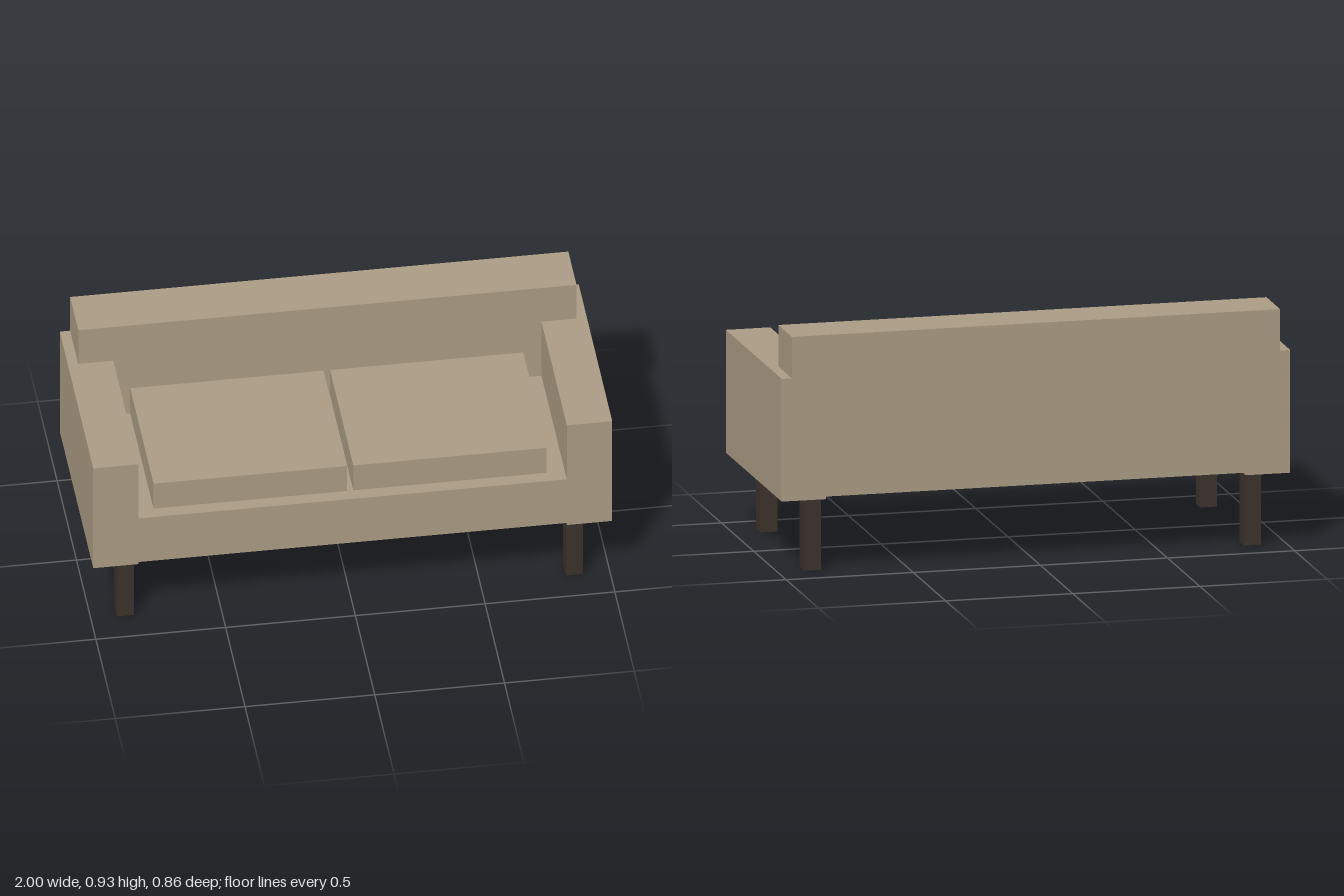
import * as THREE from 'three';

export function createModel() {
  const sofa = new THREE.Group();
  sofa.name = 'sofa';

  const fabric = new THREE.MeshStandardMaterial({ color: 0xab9c85 });
  fabric.name = 'beige fabric';
  const wood = new THREE.MeshStandardMaterial({ color: 0x3b322b });
  wood.name = 'dark wood';

  // Box given by its lower and upper limits on each axis
  function box(name, material, [x0, x1], [y0, y1], [z0, z1]) {
    const mesh = new THREE.Mesh(new THREE.BoxGeometry(x1 - x0, y1 - y0, z1 - z0), material);
    mesh.position.set((x0 + x1) / 2, (y0 + y1) / 2, (z0 + z1) / 2);
    mesh.name = name;
    sofa.add(mesh);
  }

  // Seat base between the arms, and the backrest overhanging them
  box('seatBase', fabric, [-0.825, 0.825], [0.30, 0.51], [-0.432, 0.432]);
  box('backrest', fabric, [-0.96, 0.96], [0.51, 0.932], [-0.432, -0.222]);

  // Arms
  box('leftArm', fabric, [0.825, 1], [0.29, 0.77], [-0.432, 0.432]);
  box('rightArm', fabric, [-1, -0.825], [0.29, 0.77], [-0.432, 0.432]);

  // Two loose cushions with a narrow gap
  box('leftCushion', fabric, [0.01, 0.755], [0.51, 0.63], [-0.222, 0.38]);
  box('rightCushion', fabric, [-0.76, -0.015], [0.51, 0.63], [-0.222, 0.38]);

  // Four square legs under the arms
  for (const [side, x] of [['Left', [0.83, 0.897]], ['Right', [-0.9, -0.833]]]) {
    box('front' + side + 'Leg', wood, x, [0, 0.29], [0.304, 0.371]);
    box('back' + side + 'Leg', wood, x, [0, 0.29], [-0.37, -0.303]);
  }

  return sofa;
}
